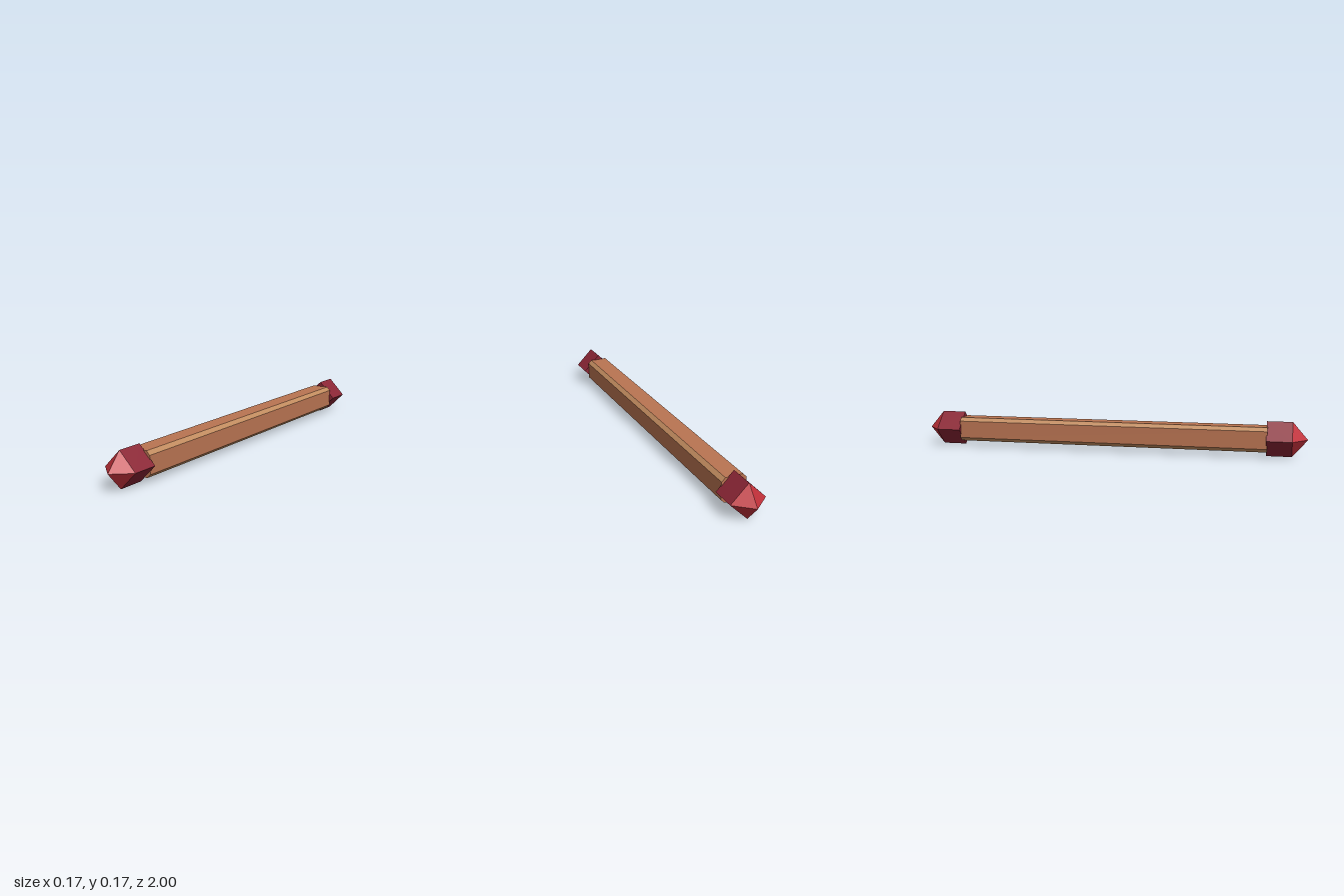
import * as THREE from 'three';

export function createModel() {
  const group = new THREE.Group();
  group.name = 'cappedBeam';
  const paint = (name, color) => {
    const m = new THREE.MeshStandardMaterial({ color });
    m.name = name;
    return m;
  };
  const wood = paint('wood', 0xba7452);
  const edgeWood = paint('lightEdgeWood', 0xc28c5f);
  const darkRed = paint('darkRed', 0x8b2635);
  const brightRed = paint('brightRed', 0xc1303a);

  const midY = 0.0875, beamEnd = 0.805, half = 0.062, flat = 0.044;
  const capR = 0.0875, capStart = 0.8, capEnd = 0.925;

  const add = (name, geometry, material, parent) => {
    const mesh = new THREE.Mesh(geometry, material);
    mesh.name = name;
    parent.add(mesh);
    return mesh;
  };

  // Beam: chamfered square, with the narrow chamfers in a lighter wood
  const outline = [
    [half, -flat], [half, flat], [flat, half], [-flat, half],
    [-half, flat], [-half, -flat], [-flat, -half], [flat, -half],
  ].map(([x, y]) => new THREE.Vector2(x, y));
  const beam = new THREE.ExtrudeGeometry(new THREE.Shape(outline), {
    depth: beamEnd * 2, bevelEnabled: false, steps: 1,
  });
  beam.translate(0, midY, -beamEnd);
  // Sort each triangle into a material by the direction it faces
  const normal = beam.getAttribute('normal');
  beam.clearGroups();
  for (let i = 0; i < normal.count; i += 3) {
    const diagonal = Math.abs(normal.getX(i) * normal.getY(i)) > 0.2;
    beam.addGroup(i, 3, diagonal ? 1 : 0);
  }
  add('beam', beam, [wood, edgeWood], group);

  // End caps: a diamond-section block with a pyramid tip
  for (const [name, turn] of [['frontCap', 0], ['backCap', Math.PI]]) {
    const cap = new THREE.Group();
    cap.name = name;
    cap.position.y = midY;
    cap.rotation.y = turn;
    const side = capR * Math.SQRT2;
    const block = new THREE.BoxGeometry(side, side, capEnd - capStart);
    block.rotateZ(Math.PI / 4).translate(0, 0, (capStart + capEnd) / 2);
    add(name + 'Block', block, darkRed, cap);

    const tip = new THREE.ConeGeometry(capR, 1 - capEnd, 4, 1, true).toNonIndexed();
    tip.rotateX(Math.PI / 2).translate(0, 0, (1 + capEnd) / 2);
    tip.computeVertexNormals();
    add(name + 'Tip', tip, brightRed, cap);
    group.add(cap);
  }
  return group;
}
